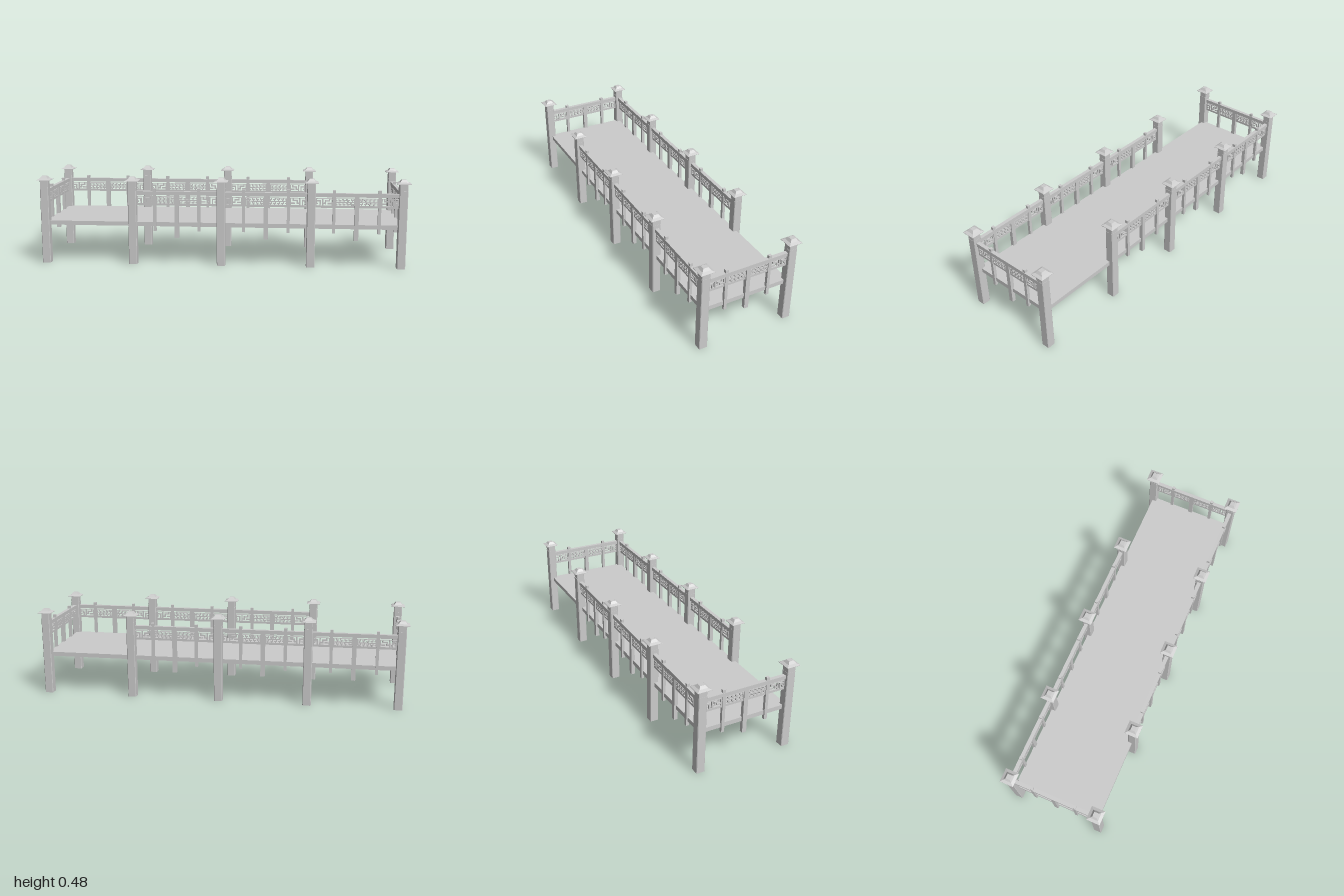
import * as THREE from 'three';
import { mergeGeometries } from 'three/addons/utils/BufferGeometryUtils.js';

const material = new THREE.MeshStandardMaterial({ color: 0xcccccc, flatShading: true });
const PX = 0.963, PZ = 0.241, BAY = PX / 2;

function mesh(name, geometry, x = 0, y = 0, z = 0) {
  const m = new THREE.Mesh(geometry, material);
  m.name = name;
  m.position.set(x, y, z);
  return m;
}

// Box given by its lower and upper heights
function bar(w, y0, y1, d, x = 0) {
  return new THREE.BoxGeometry(w, y1 - y0, d).translate(x, (y0 + y1) / 2, 0);
}

// Upright square prism with chamfered corners
function chamferedPost(h, c, y0, y1) {
  const s = new THREE.Shape();
  [[h, h - c], [h - c, h], [c - h, h], [-h, h - c], [-h, c - h], [c - h, -h], [h - c, -h], [h, c - h]]
    .forEach(([x, y], i) => (i ? s.lineTo(x, y) : s.moveTo(x, y)));
  return new THREE.ExtrudeGeometry(s, { depth: y1 - y0, bevelEnabled: false })
    .rotateX(-Math.PI / 2).translate(0, y0, 0);
}

// Fretwork drawn as rows of cells; each run of '#' becomes one bar
const WIDE_FRET = [
  '#.#....#....#',
  '#.####.#.####',
  '#....#.#.#..#',
  '####.###.#.##',
  '#......#.#..#',
];
const BAND = [
  '#..#...#...#...#..#',
  '####.###.###.###.##',
  '#.#...#...#...#...#',
];
const FINE_FRET = [...BAND, '#'.repeat(19), ...BAND];

function fretPanel(rows, x0, x1) {
  const top = 0.372, bottom = 0.336, depth = 0.008;
  const cw = (x1 - x0) / rows[0].length, ch = (top - bottom) / rows.length;
  const mid = (x0 + x1) / 2;
  const parts = [bar(x1 - x0, 0.324, bottom, depth, mid), bar(x1 - x0, top, 0.375, depth, mid)];
  rows.forEach((row, r) => {
    for (const run of row.matchAll(/#+/g)) {
      const w = run[0].length * cw;
      parts.push(bar(w, top - (r + 1) * ch, top - r * ch, depth, x0 + run.index * cw + w / 2));
    }
  });
  return mergeGeometries(parts);
}

const geo = {
  shaft: chamferedPost(0.0225, 0.003, 0, 0.421),
  head: chamferedPost(0.0215, 0.002, 0.421, 0.458),
  cap: new THREE.LatheGeometry(
    [[0, 0.457], [0.037, 0.457], [0.037, 0.459], [0.022, 0.466], [0.0125, 0.479], [0, 0.479]]
      .map(([r, y]) => new THREE.Vector2(r * Math.SQRT2, y)), 4, Math.PI / 4),
  rail: bar(BAY - 0.04, 0.382, 0.402, 0.02),
  middle: bar(0.023, 0.148, 0.383, 0.02),
  baluster: bar(0.016, 0.185, 0.418, 0.016),
  fine: fretPanel(FINE_FRET, 0.011, 0.113),
  wide: fretPanel(WIDE_FRET, 0.127, 0.219),
};

function post(x, z) {
  const g = new THREE.Group();
  g.name = 'post';
  g.add(mesh('postShaft', geo.shaft), mesh('postHead', geo.head), mesh('postCap', geo.cap));
  g.position.set(x, 0, z);
  return g;
}

// One railing bay between two posts, running along its own x
function railingBay(x, z, turn = 0) {
  const g = new THREE.Group();
  g.name = 'railingBay';
  g.add(mesh('handrail', geo.rail), mesh('middleBaluster', geo.middle));
  for (const side of [-1, 1]) {
    g.add(mesh('sideBaluster', geo.baluster, side * 0.12));
    for (const part of ['fine', 'wide']) {
      const panel = mesh(part + 'FretPanel', geo[part]);
      panel.scale.x = side;
      g.add(panel);
    }
  }
  g.position.set(x, 0, z);
  g.rotation.y = turn;
  return g;
}

export function createModel() {
  const model = new THREE.Group();
  model.name = 'railedWalkway';
  model.add(mesh('deck', bar(PX * 2, 0.209, 0.232, PZ * 2)));

  for (const side of [-1, 1]) {
    for (let i = -2; i <= 2; i++) model.add(post(i * BAY, side * PZ));
    // Three bays per long side, leaving opposite corner bays open
    for (let i = -1; i <= 1; i++) model.add(railingBay((i + side / 2) * BAY, side * PZ));
    model.add(railingBay(side * PX, 0, side * Math.PI / 2));
  }
  return model;
}
